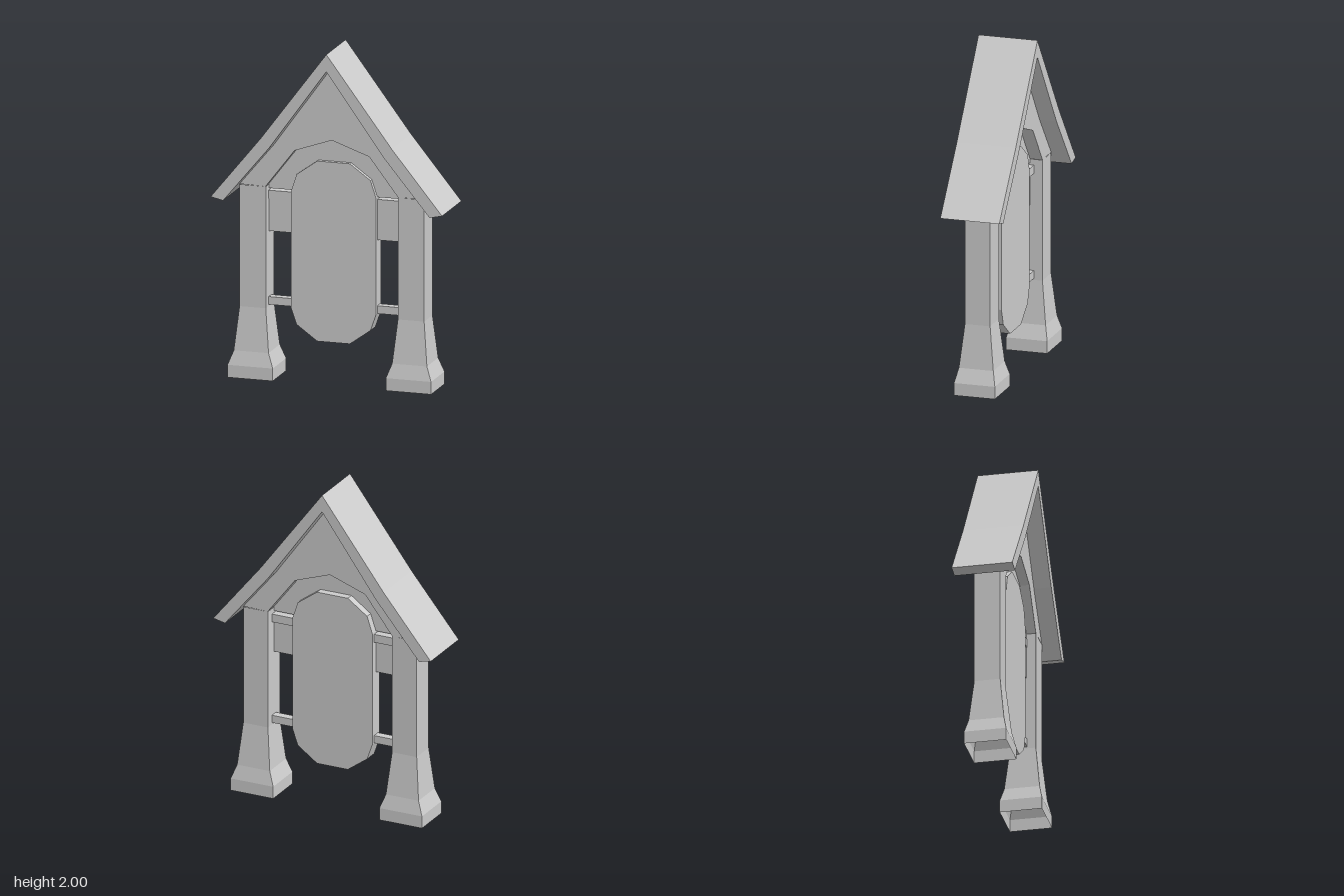
import * as THREE from 'three';

const stone = new THREE.MeshStandardMaterial({ color: 0xcccccc, flatShading: true, side: THREE.DoubleSide });
stone.name = 'pale grey';

// Mirror the right half of an outline (listed top to bottom) to the left
const mirror = (pts) => pts.slice().reverse().filter(([x]) => x > 0).map(([x, y]) => [-x, y]);

// Extrude a front outline between two depths
function slab(name, pts, z0, z1) {
  const shape = new THREE.Shape(pts.map(([x, y]) => new THREE.Vector2(x, y)));
  const geo = new THREE.ExtrudeGeometry(shape, { depth: z1 - z0, bevelEnabled: false });
  geo.translate(0, 0, z0);
  const mesh = new THREE.Mesh(geo, stone);
  mesh.name = name;
  return mesh;
}

// Box spanning the opening between the posts
function rail(name, y0, y1, depth, z = 0) {
  const mesh = new THREE.Mesh(new THREE.BoxGeometry(0.82, y1 - y0, depth), stone);
  mesh.position.set(0, (y0 + y1) / 2, z);
  mesh.name = name;
  return mesh;
}

// Square post with a flared foot, open underneath: [y, half width, half depth]
function post(name, x) {
  const rings = [[0, 0.138, 0.125], [0.075, 0.138, 0.125], [0.16, 0.106, 0.105], [0.42, 0.08, 0.077], [1.15, 0.08, 0.077]];
  const pos = [], idx = [];
  rings.forEach(([y, w, d]) => pos.push(-w, y, d, w, y, d, w, y, -d, -w, y, -d));
  for (let r = 0; r < rings.length - 1; r++) {
    for (let k = 0; k < 4; k++) {
      const a = r * 4 + k, b = r * 4 + (k + 1) % 4;
      idx.push(a, b, b + 4, a, b + 4, a + 4);
    }
  }
  let geo = new THREE.BufferGeometry();
  geo.setAttribute('position', new THREE.Float32BufferAttribute(pos, 3));
  geo.setIndex(idx);
  geo = geo.toNonIndexed();
  geo.computeVertexNormals();
  const mesh = new THREE.Mesh(geo, stone);
  mesh.position.x = x;
  mesh.name = name;
  return mesh;
}

export function createModel() {
  const g = new THREE.Group();
  g.name = 'signShelter';

  // Posts
  g.add(post('leftPost', 0.483), post('rightPost', -0.483));

  // Pitched roof with a slight kick in the slope
  const roofTop = [[0, 2], [0.4, 1.465], [0.706, 1.09]];
  const roofUnder = [[0, 1.897], [0.35, 1.41], [0.63, 1.073]];
  const under = [...mirror(roofUnder), ...roofUnder].reverse();
  g.add(slab('roof', [...mirror(roofTop), ...roofTop, ...under], -0.18, 0.18));

  // Gable wall with an arched underside
  const gableTop = [[0, 1.897], [0.35, 1.41], [0.563, 1.153]];
  const arch = [[0, 1.46], [0.228, 1.38], [0.405, 1.15]];
  const archLine = [...mirror(arch), ...arch];
  g.add(slab('gable', [...mirror(gableTop), ...gableTop, ...archLine.slice().reverse()], -0.077, 0.077));

  // Recessed board closing the arch
  g.add(slab('archInfill', [[-0.405, 1.127], ...archLine, [0.405, 1.127]], 0, 0.02));

  // Hanging panel with clipped corners
  const side = [[0.1, 1.32], [0.225, 1.23], [0.26, 1.125], [0.26, 0.43], [0.225, 0.33], [0.1, 0.24]];
  g.add(slab('panel', [...side, ...mirror(side)], -0.046, 0.046));

  // Rails and the backing board behind the upper one
  g.add(rail('upperRail', 1.065, 1.115, 0.05));
  g.add(rail('lowerRail', 0.43, 0.477, 0.05));
  g.add(rail('backingBoard', 0.87, 1.113, 0.02, 0.01));
  return g;
}
